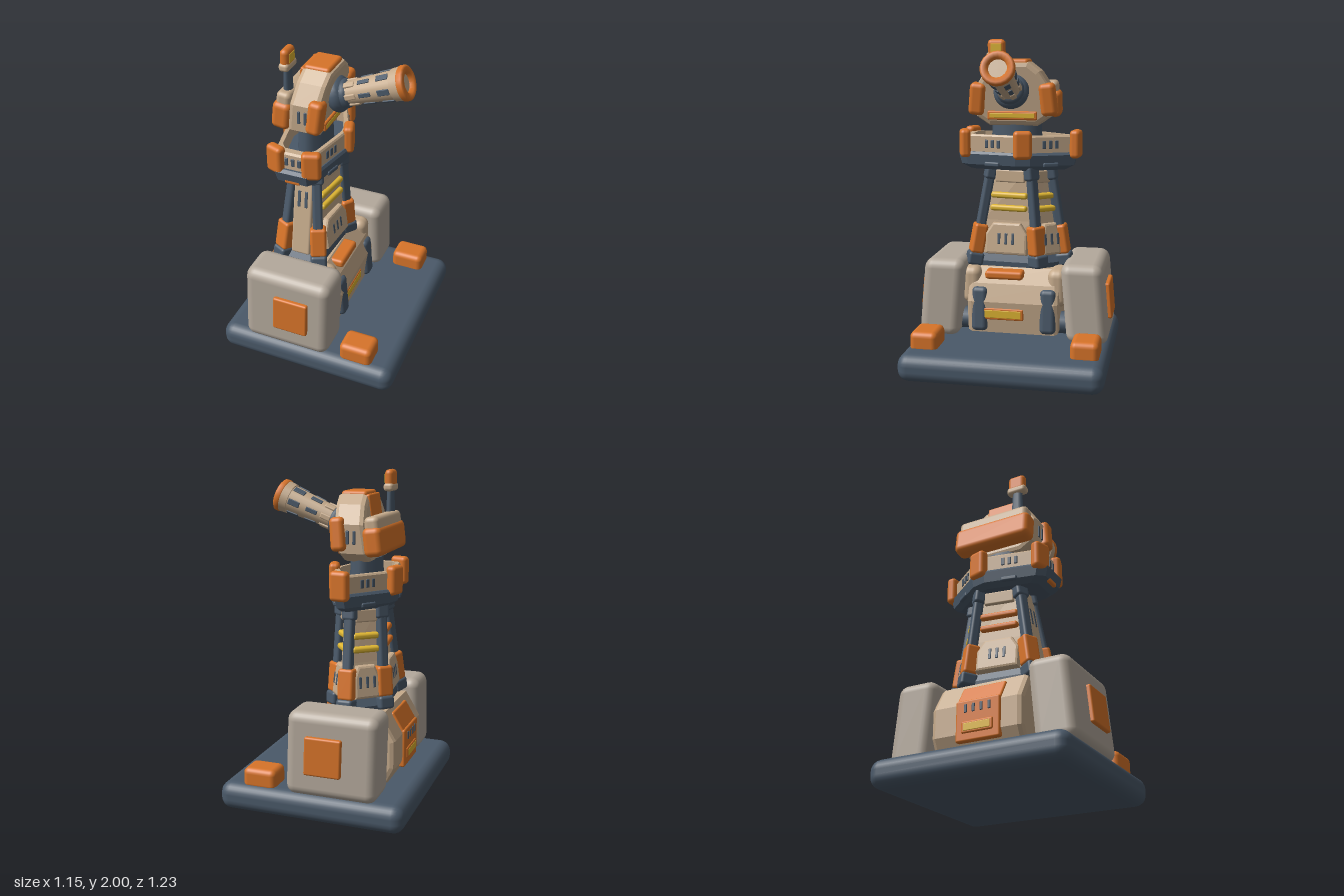
import * as THREE from 'three';
import { RoundedBoxGeometry } from 'three/addons/geometries/RoundedBoxGeometry.js';

const mat = (name, color) => {
  const m = new THREE.MeshStandardMaterial({ color });
  m.name = name;
  return m;
};

export function createModel() {
  const slate = mat('slate', 0x4a5969), tan = mat('tan', 0xc6ab8c), orange = mat('orange', 0xd87429);
  const stone = mat('stone', 0xb4a99c), yellow = mat('yellow', 0xdfb632);
  const model = new THREE.Group();
  model.name = 'turret';

  const add = (parent, name, geo, material, pos = [0, 0, 0], rot = [0, 0, 0]) => {
    const mesh = new THREE.Mesh(geo, material);
    mesh.name = name;
    mesh.position.set(...pos);
    mesh.rotation.set(...rot);
    parent.add(mesh);
    return mesh;
  };
  const group = (parent, name, pos = [0, 0, 0], rot = [0, 0, 0]) => {
    const g = new THREE.Group();
    g.name = name;
    g.position.set(...pos);
    g.rotation.set(...rot);
    parent.add(g);
    return g;
  };
  const rbox = (w, h, d, r = 0.02) => new RoundedBoxGeometry(w, h, d, 3, Math.min(r, w / 2.01, h / 2.01, d / 2.01));
  const box = (w, h, d) => new THREE.BoxGeometry(w, h, d);

  // Stacked rings of [x, z] points at given heights, with a lid on the last ring and a floor on the first
  const loft = (rings, lids = true) => {
    const v = [];
    const p = (r, i) => { const q = r.pts[i % r.pts.length]; return [q[0], r.y, q[1]]; };
    const n = rings[0].pts.length;
    for (let k = 0; k + 1 < rings.length; k++) {
      const a = rings[k], b = rings[k + 1];
      for (let i = 0; i < n; i++) v.push(...p(a, i), ...p(a, i + 1), ...p(b, i + 1), ...p(a, i), ...p(b, i + 1), ...p(b, i));
    }
    const top = rings[rings.length - 1];
    if (lids) for (let i = 1; i < n - 1; i++) {
      v.push(...p(top, 0), ...p(top, i), ...p(top, i + 1));
      v.push(...p(rings[0], 0), ...p(rings[0], i + 1), ...p(rings[0], i));
    }
    const g = new THREE.BufferGeometry();
    g.setAttribute('position', new THREE.Float32BufferAttribute(v, 3));
    g.computeVertexNormals();
    return g;
  };
  // Prism with a bevelled outline, its length running along an axis
  const prism = (pts, depth, bevel) => {
    const g = new THREE.ExtrudeGeometry(new THREE.Shape(pts.map(q => new THREE.Vector2(...q))),
      { depth: depth - 2 * bevel, bevelEnabled: bevel > 0, bevelSize: bevel, bevelOffset: -bevel, bevelThickness: bevel, bevelSegments: 2 });
    return g.translate(0, 0, -depth / 2 + bevel);
  };
  // Bar between two points, optionally tapered
  const beam = (parent, name, a, b, w, d, material, yaw) => {
    const A = new THREE.Vector3(...a), B = new THREE.Vector3(...b), dir = B.clone().sub(A);
    const mesh = add(parent, name, rbox(w, dir.length(), d, 0.018).rotateY(yaw), material);
    mesh.position.copy(A).add(B).multiplyScalar(0.5);
    mesh.quaternion.setFromUnitVectors(new THREE.Vector3(0, 1, 0), dir.normalize());
  };
  // Row of upright dark vents on a +z surface
  const vents = (parent, count, gap, h, y, z, w = 0.018) => {
    for (let i = 0; i < count; i++) add(parent, 'vent', rbox(w, h, 0.009, 0.004), slate, [(i - (count - 1) / 2) * gap, y, z]);
  };
  // Framed yellow light strip on a +z surface
  const lightStrip = (parent, w, h, y, z) => {
    add(parent, 'lightFrame', rbox(w, h, 0.02, 0.01), orange, [0, y, z]);
    add(parent, 'light', rbox(w - 0.03, h - 0.025, 0.009, 0.004), yellow, [0, y, z + 0.008]);
  };

  // Base slab and its two bumpers
  add(model, 'base', rbox(1.15, 0.17, 1.23, 0.07), slate, [0, 0.085, 0]);
  for (const s of [1, -1]) {
    add(model, 'bumper', rbox(0.21, 0.13, 0.17, 0.035), orange, [0.325, 0.205, s * 0.485]);
    // Leaning side blocks with outer panels
    const lean = g => {
      const q = g.attributes.position;
      for (let i = 0; i < q.count; i++) q.setZ(i, q.getZ(i) - s * 0.09 * q.getY(i));
      return g;
    };
    add(model, 'sideBlock', lean(rbox(0.56, 0.5, 0.26, 0.06)), stone, [-0.13, 0.405, s * 0.448]);
    add(model, 'sidePanel', lean(rbox(0.225, 0.225, 0.035, 0.012)), orange, [-0.09, 0.41, s * 0.586]);
    // Joint covers and struts beside the lower body
    add(model, 'shoulder', rbox(0.36, 0.24, 0.12, 0.05), tan, [-0.1, 0.48, s * 0.27]);
    add(model, 'strut', rbox(0.07, 0.28, 0.1, 0.03), slate, [0.09, 0.34, s * 0.22 + 0.045 * (1 + s) - 0.1 * (s > 0)], [0, 0, 0.08]);
    add(model, 'axle', new THREE.CylinderGeometry(0.07, 0.07, 0.12, 12).rotateX(Math.PI / 2), slate, [0.0, 0.25, s * 0.3]);
  }

  // Lower body
  const hull = [[-0.38, 0.17], [-0.43, 0.27], [-0.43, 0.44], [-0.34, 0.59], [0, 0.59], [0.08, 0.5], [0.12, 0.39], [0.1, 0.19]];
  add(model, 'lowerBody', prism(hull, 0.58, 0.03), tan);
  const front = group(model, 'lowerFront', [0.1, 0, 0.06], [0, Math.PI / 2, 0]);
  lightStrip(front, 0.26, 0.075, 0.315, 0.012);
  add(front, 'frontBar', rbox(0.24, 0.055, 0.1, 0.02), orange, [0, 0.555, -0.06]);
  const rear = group(model, 'lowerRear', [-0.425, 0, 0.02], [0, -Math.PI / 2, 0]);
  add(rear, 'rearPanel', rbox(0.28, 0.24, 0.04, 0.012), orange, [0, 0.34, 0]);
  add(rear, 'rearUpperPanel', rbox(0.28, 0.14, 0.03, 0.012), orange, [0, 0.5, -0.035], [-0.54, 0, 0]);
  lightStrip(rear, 0.2, 0.07, 0.3, 0.018);
  vents(rear, 4, 0.05, 0.05, 0.41, 0.021);

  // Five-sided tower: leg positions as [x, z]
  const low = [[-0.01, -0.14], [-0.13, -0.29], [-0.31, -0.13], [-0.275, 0.27], [-0.035, 0.27]];
  const high = [[-0.03, -0.09], [-0.12, -0.2], [-0.27, -0.08], [-0.225, 0.17], [-0.085, 0.17]];
  const mix = (t, k = 1) => low.map((q, i) => [0, 1].map(j => {
    const c = j ? 0.02 : -0.15;
    return c + k * (q[j] + (high[i][j] - q[j]) * t - c);
  }));
  const yLow = 0.64, yHigh = 1.22, at = t => yLow + (yHigh - yLow) * t;
  const tower = group(model, 'tower');
  add(tower, 'towerFoot', loft([{ y: 0.56, pts: mix(0, 1.08) }, { y: 0.62, pts: mix(0, 1.1) }, { y: 0.67, pts: mix(0, 0.95) }]), slate);
  add(tower, 'towerCore', loft([{ y: 0.64, pts: mix(0, 0.96) }, { y: 0.88, pts: mix(0.5, 0.97) }, { y: 1.23, pts: mix(1, 0.96) }]), tan);
  for (let i = 0; i < 5; i++) {
    const point = t => { const q = mix(t)[i]; return [q[0], at(t), q[1]]; };
    const yaw = Math.atan2(low[i][0] + 0.15, low[i][1] - 0.02);
    beam(tower, 'leg', point(-0.03), point(1), 0.06, 0.06, slate, yaw);
    beam(tower, 'legTop', point(0.86), point(1.02), 0.085, 0.07, slate, yaw);
    beam(tower, 'legShoe', point(0.05), point(0.37), 0.1, 0.085, orange, yaw);
    beam(tower, 'legFoot', point(-0.08), point(0.06), 0.1, 0.1, slate, yaw);
  }
  // Group lying flat on side i of a five-sided outline, local +z facing outwards
  const side = (parent, name, pts, i, y, tilt = 0) => {
    const a = pts[i], b = pts[(i + 1) % 5];
    const g = group(parent, name, [(a[0] + b[0]) / 2, y, (a[1] + b[1]) / 2], [tilt, Math.atan2(a[1] - b[1], b[0] - a[0]), 0]);
    g.rotation.order = 'YXZ';
    g.userData.width = Math.hypot(b[0] - a[0], b[1] - a[1]);
    return g;
  };
  for (let i = 0; i < 5; i++) {
    const plateAt = side(tower, 'sidePlate', mix(0.22), i, at(0.22), -0.13);
    const w = plateAt.userData.width;
    if (i === 3) {
      // Tall plain front panel
      const tall = side(tower, 'tallPanel', mix(0.5), i, at(0.5), -0.17);
      add(tall, 'panel', rbox(0.125, 0.56, 0.04, 0.015), tan);
      vents(tall, 2, 0.045, 0.11, 0.1, 0.019, 0.02);
      continue;
    }
    const pw = Math.min(0.27, w * 0.72);
    const outline = [[-0.5, -0.1], [0.5, -0.1], [0.5, 0.03], [0.33, 0.1], [-0.33, 0.1], [-0.5, 0.03]];
    add(plateAt, 'plate', prism(outline.map(q => [q[0] * pw, q[1]]), 0.07, 0.015), tan);
    vents(plateAt, 3, 0.045, 0.07, 0, 0.034);
    for (const y of [0.96, 1.04]) {
      const t = (y - yLow) / (yHigh - yLow);
      const bar = side(tower, 'lightBarMount', mix(t), i, y);
      const bw = Math.min(0.24, bar.userData.width * 0.82);
      add(bar, 'lightBar', rbox(bw, 0.038, 0.045, 0.016), i === 2 ? orange : yellow);
    }
    const cuff = side(tower, 'upperPlate', mix(0.9), i, at(0.9));
    add(cuff, 'plate', rbox(cuff.userData.width * 0.7, 0.08, 0.035, 0.01), tan);
  }

  // Platform: flared dark ring, slotted parapet and corner posts
  const deck = [[0.04, -0.05], [-0.11, -0.37], [-0.35, -0.05], [-0.27, 0.34], [-0.04, 0.34]];
  const scaled = k => deck.map(q => [-0.15 + k * (q[0] + 0.15), 0.01 + k * (q[1] - 0.01)]);
  const cut = k => scaled(k).flatMap((q, i, all) => [all[(i + 4) % 5], all[(i + 1) % 5]].map(n => [q[0] + 0.12 * (n[0] - q[0]), q[1] + 0.12 * (n[1] - q[1])]));
  const rings = list => list.map(([y, k]) => ({ y, pts: cut(k) }));
  const platform = group(model, 'platform');
  add(platform, 'ring', loft(rings([[1.205, 0.88], [1.235, 1.05], [1.3, 1.1], [1.315, 1.04]])), slate);
  add(platform, 'parapet', loft(rings([[1.31, 1.0], [1.41, 1.0], [1.42, 0.96], [1.42, 0.84], [1.31, 0.84]]), false), tan);
  for (let i = 0; i < 5; i++) {
    const q = scaled(0.97)[i];
    add(platform, 'post', rbox(0.115, 0.175, 0.065, 0.025), orange, [q[0], 1.365, q[1]], [0, Math.atan2(q[0] + 0.15, q[1] - 0.01), 0]);
    const wall = side(platform, 'wallVents', scaled(1.0), i, 1.365);
    vents(wall, 3, 0.04, 0.05, 0, 0.002, 0.022);
    const tag = side(platform, 'ringTag', scaled(1.0), i, 1.24);
    add(tag, 'tag', rbox(0.1, 0.03, 0.04, 0.01), i === 3 ? orange : slate);
  }
  add(platform, 'neck', new THREE.CylinderGeometry(0.12, 0.13, 0.24, 12).scale(0.75, 1, 1.3), slate, [-0.15, 1.37, 0.02]);

  // Head: bevelled outline across z, leaning slightly with height
  const head = group(model, 'head', [0, 0, 0.027]);
  const half = [[0.15, 1.475], [0.23, 1.53], [0.24, 1.7], [0.17, 1.81], [0.1, 1.865]];
  const headPts = [...half, ...half.map(q => [-q[0], q[1]]).reverse()];
  const headGeo = prism(headPts, 0.19, 0.03).rotateY(Math.PI / 2);
  const hp = headGeo.attributes.position;
  for (let i = 0; i < hp.count; i++) hp.setX(i, hp.getX(i) + (hp.getY(i) - 1.75) * 0.13);
  headGeo.computeVertexNormals();
  add(head, 'headShell', headGeo, tan, [-0.105, 0, 0]);
  add(head, 'crown', rbox(0.16, 0.06, 0.2, 0.02), orange, [-0.095, 1.853, 0]);
  add(head, 'crownBack', rbox(0.03, 0.17, 0.2, 0.012), orange, [-0.19, 1.78, 0], [0, 0, -0.13]);
  for (const s of [1, -1]) {
    add(head, 'cheek', rbox(0.09, 0.2, 0.1, 0.03), orange, [-0.045, 1.64, s * 0.22], [s * -0.1, 0, -0.1]);
    const flank = group(head, 'flank', [-0.125, 1.625, s * 0.235], [0, s > 0 ? 0 : Math.PI, 0]);
    vents(flank, 2, 0.04, 0.08, 0, 0.004);
  }
  const face = group(head, 'face', [-0.035, 1.54, 0], [0, Math.PI / 2, 0]);
  lightStrip(face, 0.31, 0.055, 0, 0.008);
  // Rear pack
  const pack = group(head, 'pack', [-0.26, 1.63, -0.015], [0, 0, -0.12]);
  add(pack, 'packBody', rbox(0.115, 0.17, 0.52, 0.035), orange, [0, -0.025, 0]);
  add(pack, 'packLid', rbox(0.09, 0.11, 0.48, 0.03), tan, [0, 0.065, 0]);
  add(pack, 'packMount', box(0.08, 0.14, 0.3), slate, [0.06, 0, 0]);

  // Antenna with a flattened lamp
  const antenna = group(model, 'antenna', [-0.248, 0, 0.17]);
  add(antenna, 'mast', new THREE.CylinderGeometry(0.02, 0.027, 0.2, 10).scale(1, 1, 1.6), slate, [0, 1.8, 0]);
  add(antenna, 'cup', rbox(0.062, 0.05, 0.13, 0.02), tan, [0, 1.895, 0]);
  add(antenna, 'lamp', rbox(0.055, 0.11, 0.115, 0.027), orange, [0, 1.945, 0]);
  add(antenna, 'lampGlass', rbox(0.009, 0.055, 0.07, 0.004), yellow, [0.026, 1.945, 0]);

  // Cannon, built along +y and tipped towards +x
  add(model, 'cannonJoint', new THREE.SphereGeometry(0.11, 20, 14).scale(0.6, 1, 1), slate, [-0.0, 1.69, 0.027], [0, 0, 0.3]);
  const cannon = group(model, 'cannon', [0.03, 1.695, 0.027], [0, 0, -Math.PI / 2 + 0.37]);
  const lathe = pts => new THREE.LatheGeometry(pts.map(q => new THREE.Vector2(...q)), 20);
  add(cannon, 'collar', lathe([[0, -0.02], [0.09, -0.02], [0.085, 0.03], [0.06, 0.05], [0, 0.05]]), slate);
  add(cannon, 'barrel', new THREE.CylinderGeometry(0.087, 0.068, 0.35, 20), tan, [0, 0.205, 0]);
  add(cannon, 'barrelLip', new THREE.CylinderGeometry(0.098, 0.092, 0.06, 20), tan, [0, 0.36, 0]);
  add(cannon, 'muzzle', lathe([[0.094, 0.375], [0.102, 0.382], [0.1, 0.408], [0.088, 0.417], [0.06, 0.413], [0.052, 0.38], [0.052, 0.34]]), orange);
  add(cannon, 'muzzleGlow', new THREE.CylinderGeometry(0.055, 0.055, 0.008, 20), yellow, [0, 0.385, 0]);
  for (let i = 0; i < 6; i++) {
    const spoke = group(cannon, 'barrelSlots', [0, 0, 0], [0, i * Math.PI / 3, 0]);
    add(spoke, 'slot', rbox(0.036, 0.075, 0.009, 0.004), slate, [0, 0.285, 0.084], [0.054, 0, 0]);
    add(spoke, 'slot', rbox(0.026, 0.075, 0.009, 0.004), slate, [0, 0.165, 0.077], [0.054, 0, 0]);
    add(spoke, 'barrelRib', rbox(0.035, 0.07, 0.02, 0.008), tan, [0, 0.07, 0.068]);
  }
  return model;
}
